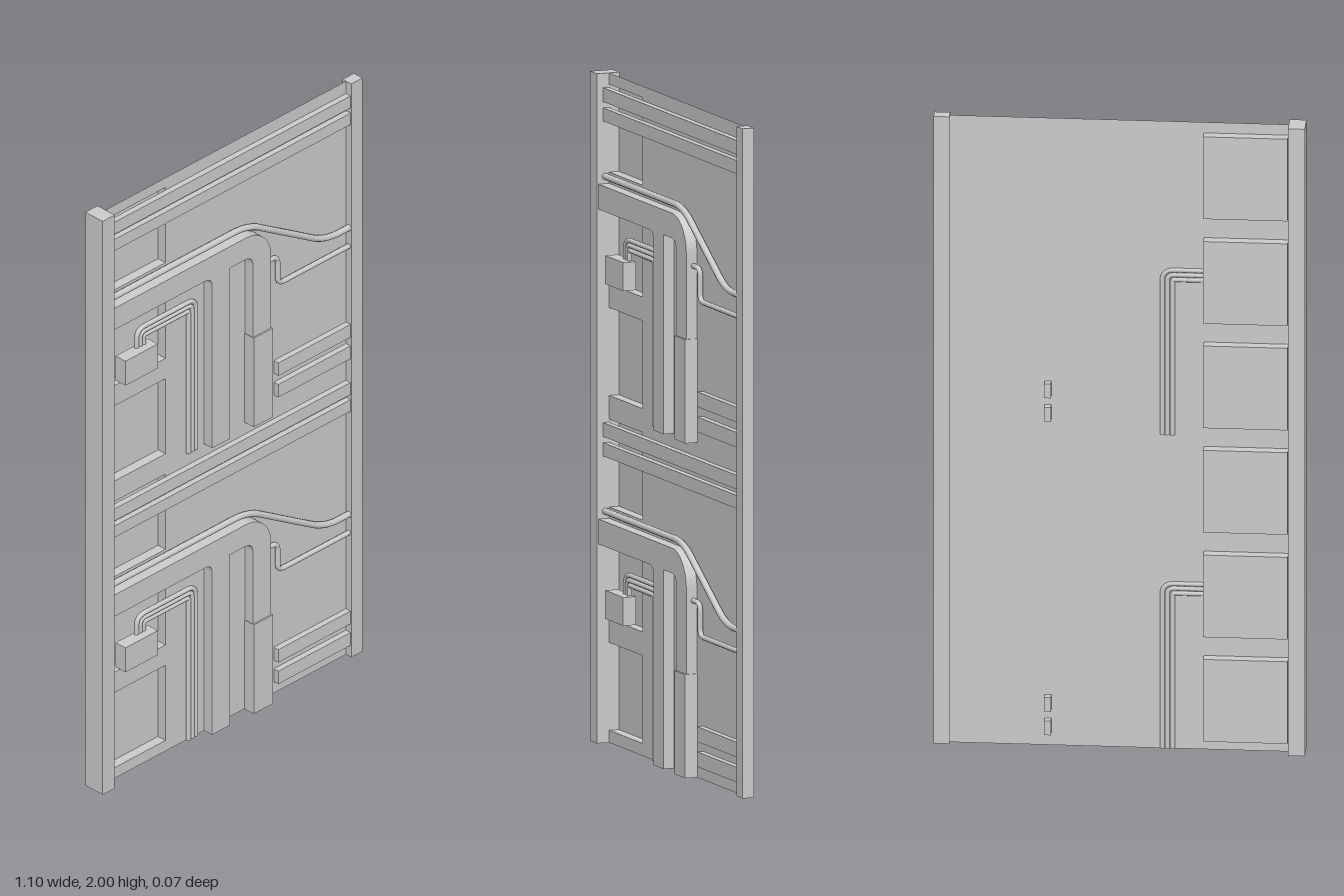
import * as THREE from 'three';

const grey = new THREE.MeshStandardMaterial({ color: 0xcccccc });
const thin = new THREE.MeshStandardMaterial({ color: 0xcccccc, side: THREE.DoubleSide });
const WALL_Z = -0.004;

function add(parent, name, geometry, material = grey) {
  const mesh = new THREE.Mesh(geometry, material);
  mesh.name = name;
  parent.add(mesh);
  return mesh;
}

// Box given by its limits on each axis
function box(parent, name, x0, x1, y0, y1, z0, z1) {
  const mesh = add(parent, name, new THREE.BoxGeometry(x1 - x0, y1 - y0, z1 - z0));
  mesh.position.set((x0 + x1) / 2, (y0 + y1) / 2, (z0 + z1) / 2);
  return mesh;
}

// Rectangular outline, for the wall and its openings
function rect(path, x0, x1, y0, y1) {
  path.moveTo(x0, y0);
  path.lineTo(x1, y0);
  path.lineTo(x1, y1);
  path.lineTo(x0, y1);
  path.closePath();
  return path;
}

// Round tube through [x, y] points with rounded corners
function pipe(parent, name, points, z, radius, bend) {
  const pts = points.map(([x, y]) => new THREE.Vector3(x, y, z));
  const path = new THREE.CurvePath();
  let from = pts[0];
  for (let i = 1; i < pts.length - 1; i++) {
    const p = pts[i];
    const a = p.clone().add(pts[i - 1].clone().sub(p).setLength(bend));
    const b = p.clone().add(pts[i + 1].clone().sub(p).setLength(bend));
    path.add(new THREE.LineCurve3(from, a));
    path.add(new THREE.QuadraticBezierCurve3(a, p, b));
    from = b;
  }
  path.add(new THREE.LineCurve3(from, pts[pts.length - 1]));
  return add(parent, name, new THREE.TubeGeometry(path, 140, radius, 10), thin);
}

// Flat duct: a horizontal run that turns down into two legs
function ductGeometry() {
  const s = new THREE.Shape();
  s.moveTo(-0.5, 0.595);
  s.lineTo(-0.12, 0.595);
  s.quadraticCurveTo(-0.09, 0.595, -0.09, 0.565);
  s.lineTo(-0.09, 0);
  s.lineTo(-0.015, 0);
  s.lineTo(-0.015, 0.595);
  s.lineTo(0.045, 0.595);
  s.quadraticCurveTo(0.08, 0.595, 0.08, 0.56);
  s.lineTo(0.08, 0);
  s.lineTo(0.155, 0);
  s.lineTo(0.155, 0.565);
  s.absarc(0.05, 0.565, 0.105, 0, Math.PI / 2, false);
  s.lineTo(-0.5, 0.67);
  s.closePath();
  const g = new THREE.ExtrudeGeometry(s, { depth: 0.03 - WALL_Z, bevelEnabled: false, curveSegments: 10 });
  return g.translate(0, 0, WALL_Z);
}

// Open tray behind a wall opening
function niche(parent, x0, x1, y0, y1) {
  const back = -0.035, d = WALL_Z - back, w = x1 - x0, h = y1 - y0;
  const group = new THREE.Group();
  group.name = 'niche';
  group.position.set((x0 + x1) / 2, (y0 + y1) / 2, back);
  add(group, 'nicheBack', new THREE.PlaneGeometry(w, h), thin);
  for (const s of [-1, 1]) {
    const shelf = add(group, 'nicheShelf', new THREE.PlaneGeometry(w, d), thin);
    shelf.rotation.x = Math.PI / 2;
    shelf.position.set(0, s * h / 2, d / 2);
    const side = add(group, 'nicheSide', new THREE.PlaneGeometry(d, h), thin);
    side.rotation.y = Math.PI / 2;
    side.position.set(s * w / 2, 0, d / 2);
  }
  parent.add(group);
}

// One storey of the panel, one unit high
function section() {
  const g = new THREE.Group();
  g.name = 'section';

  // Wall with three openings and the trays behind them
  const wall = rect(new THREE.Shape(), -0.5, 0.5, 0, 1);
  for (const y of [0.037, 0.37, 0.704]) {
    wall.holes.push(rect(new THREE.Path(), -0.499, -0.25, y, y + 0.262));
    niche(g, -0.499, -0.25, y, y + 0.262);
  }
  add(g, 'wall', new THREE.ShapeGeometry(wall), thin).position.z = WALL_Z;

  // Horizontal rails
  box(g, 'upperRail', -0.5, 0.5, 0.915, 0.957, WALL_Z, 0.015);
  box(g, 'lowerRail', -0.5, 0.5, 0.857, 0.897, WALL_Z, 0.015);

  // Duct and the sleeve on its outer leg
  add(g, 'duct', ductGeometry());
  box(g, 'ductSleeve', 0.078, 0.158, 0, 0.31, WALL_Z, 0.035);

  // Long pipe sloping down to the right post, and the short one below it
  pipe(g, 'slopingPipe', [[-0.5, 0.692], [0.08, 0.692], [0.4, 0.495], [0.5, 0.495]], 0.008, 0.01, 0.06);
  pipe(g, 'branchPipe', [[0.14, 0.528], [0.205, 0.528], [0.205, 0.43], [0.5, 0.43]], 0.007, 0.008, 0.025);

  // Junction box with three nested cables
  box(g, 'junctionBox', -0.45, -0.315, 0.38, 0.465, -0.011, 0.03);
  for (let i = 0; i < 3; i++) {
    const o = i * 0.015;
    pipe(g, 'cable', [[-0.373 + o, 0.45], [-0.373 + o, 0.525 - o], [-0.127 - o, 0.525 - o], [-0.127 - o, 0]],
      -0.002, 0.0075, 0.035 - o);
  }

  // Flat bars whose inner ends pass back through the wall
  for (const y of [0.04, 0.115]) {
    box(g, 'flatBar', 0.2, 0.5, y, y + 0.045, WALL_Z, 0.015);
    box(g, 'flatBarEnd', 0.2, 0.22, y, y + 0.045, -0.027, WALL_Z);
  }
  return g;
}

export function createModel() {
  const model = new THREE.Group();
  model.name = 'servicePanel';
  for (let i = 0; i < 2; i++) {
    const s = section();
    s.position.y = i;
    model.add(s);
  }
  // Side posts
  box(model, 'rightPost', -0.55, -0.5, 0, 2, -0.037, 0.035);
  box(model, 'leftPost', 0.5, 0.547, 0, 2, -0.018, 0.018);
  return model;
}
